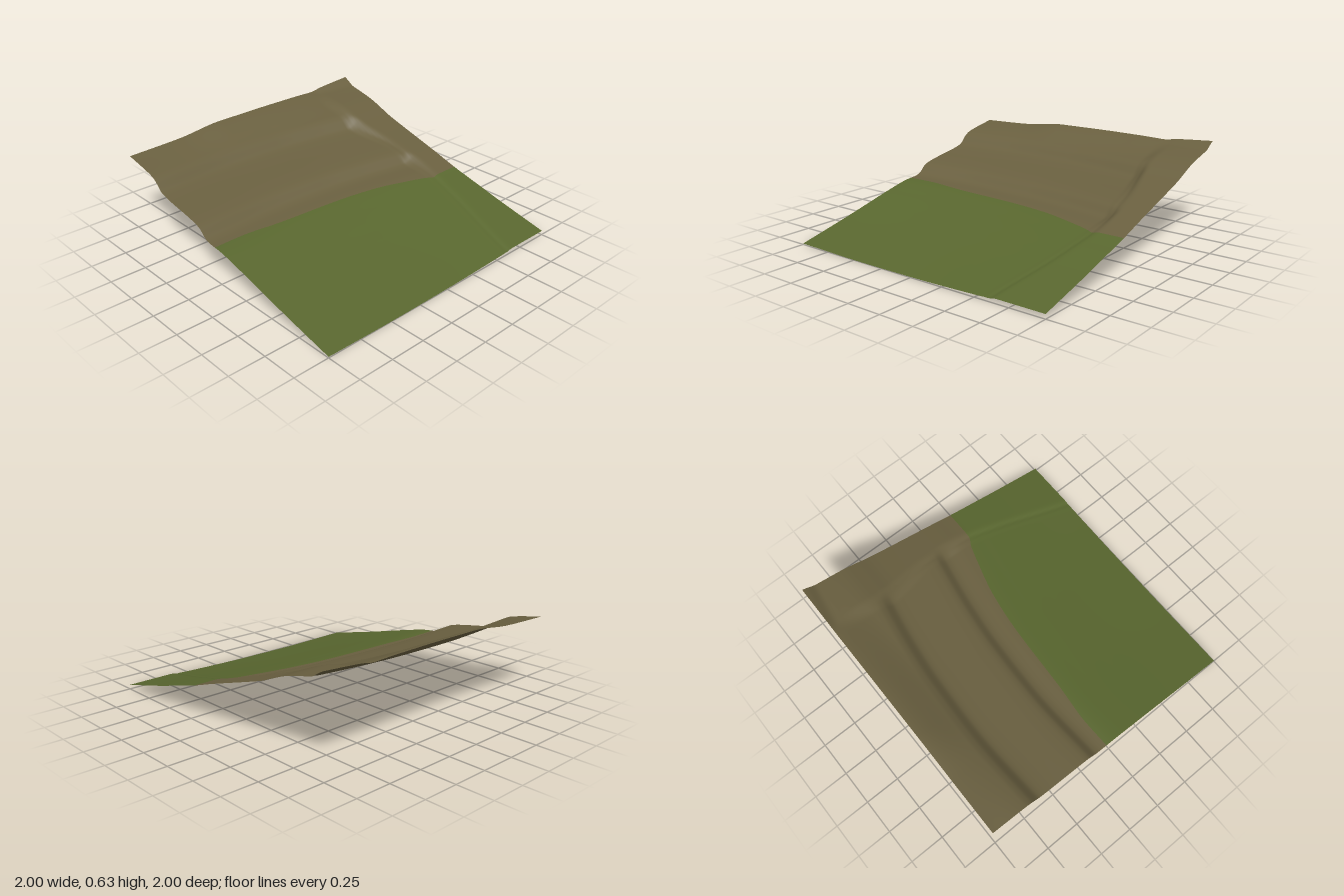
import * as THREE from 'three';

// Smooth monotone curve through [position, value] pairs, flat beyond the ends
function curve(points) {
  const n = points.length;
  const slope = (i) => (points[i + 1][1] - points[i][1]) / (points[i + 1][0] - points[i][0]);
  const tangent = points.map((_, i) => {
    if (i === 0) return slope(0);
    if (i === n - 1) return slope(n - 2);
    const a = slope(i - 1), b = slope(i);
    return a * b <= 0 ? 0 : (2 * a * b) / (a + b);
  });
  return (x) => {
    let i = 0;
    while (i < n - 2 && x > points[i + 1][0]) i++;
    const [x0, y0] = points[i], [x1, y1] = points[i + 1];
    const w = x1 - x0;
    const t = THREE.MathUtils.clamp((x - x0) / w, 0, 1);
    const s = t * t * (3 - 2 * t);
    return y0 + (y1 - y0) * s
      + w * tangent[i] * t * (1 - t) * (1 - t)
      - w * tangent[i + 1] * t * t * (1 - t);
  };
}

// Bend of the terraces across the slope
const bend = curve([[-1, -0.17], [-0.45, -0.2], [0, -0.185], [0.3, -0.155], [0.7, -0.09], [1, -0.03]]);
// Stepped slope, measured from the first riser
const terraces = curve([
  [-1.05, 0.63], [-0.93, 0.575], [-0.83, 0.55], [-0.57, 0.495], [-0.53, 0.475], [-0.46, 0.412],
  [-0.42, 0.398], [-0.08, 0.335], [-0.04, 0.32], [0.03, 0.264], [0.07, 0.253],
  [0.17, 0.243], [0.37, 0.2], [0.57, 0.15], [0.77, 0.1], [1.2, 0],
]);
// Even slope beside the terraces
const ramp = curve([
  [-1, 0.633], [-0.97, 0.618], [-0.91, 0.582], [-0.87, 0.572], [-0.7, 0.53], [-0.6, 0.493], [-0.5, 0.452],
  [-0.4, 0.42], [0, 0.3], [0.2, 0.237], [0.4, 0.183], [0.6, 0.129], [1, 0.03],
]);
// Swell along the back edge
const swell = curve([[-1, 0], [-0.6, 0.02], [-0.25, 0.055], [0, 0.055], [0.4, 0.045], [0.7, 0.025], [1, 0]]);
// Line where the terraces end, with a shallow rut along it
const rut = curve([[-1, 0.66], [-0.6, 0.68], [-0.2, 0.76], [0.1, 0.78], [0.4, 0.74], [0.9, 0.63], [1, 0.61]]);
// Border between grass and soil
const border = curve([
  [-1, -0.05], [-0.8, -0.055], [-0.5, -0.03], [0, 0], [0.3, 0.04],
  [0.6, 0.12], [0.72, 0.16], [0.78, 0.19], [1, 0.19],
]);

function height(x, z) {
  const back = THREE.MathUtils.smoothstep(-z, 0.72, 1);
  const stepped = terraces(z - bend(x)) + swell(x) * back;
  const even = ramp(z + 0.15 * (1 - x) * back);
  const d = x - rut(z);
  const mix = THREE.MathUtils.smoothstep(d, -0.06, 0.06);
  const groove = 0.005 * Math.exp(-((d / 0.02) ** 2)) * THREE.MathUtils.smoothstep(z, -0.75, -0.5);
  return Math.max(0, THREE.MathUtils.lerp(stepped, even, mix) - groove);
}

// Sheet of ground between two lines running across x
function ground(name, material, zBack, zFront, rows) {
  const geometry = new THREE.PlaneGeometry(2, 1, 120, rows).rotateX(-Math.PI / 2);
  const p = geometry.attributes.position;
  const normals = geometry.attributes.normal;
  const v = new THREE.Vector3();
  const e = 0.006;
  for (let i = 0; i < p.count; i++) {
    const x = p.getX(i);
    const z = THREE.MathUtils.lerp(zBack(x), zFront(x), p.getZ(i) + 0.5);
    p.setXYZ(i, x, height(x, z), z);
    // Normals from the height rule keep the seam smooth
    v.set(height(x - e, z) - height(x + e, z), 2 * e, height(x, z - e) - height(x, z + e)).normalize();
    normals.setXYZ(i, v.x, v.y, v.z);
  }
  const mesh = new THREE.Mesh(geometry, material);
  mesh.name = name;
  return mesh;
}

export function createModel() {
  const soil = new THREE.MeshStandardMaterial({ color: 0x6a6040, side: THREE.DoubleSide });
  soil.name = 'soil brown';
  const grass = new THREE.MeshStandardMaterial({ color: 0x59672f, side: THREE.DoubleSide });
  grass.name = 'grass green';

  const model = new THREE.Group();
  model.name = 'terracedHillside';
  model.add(
    ground('terracedSoil', soil, () => -1, border, 120),
    ground('grassSlope', grass, border, () => 1, 60),
  );
  return model;
}
